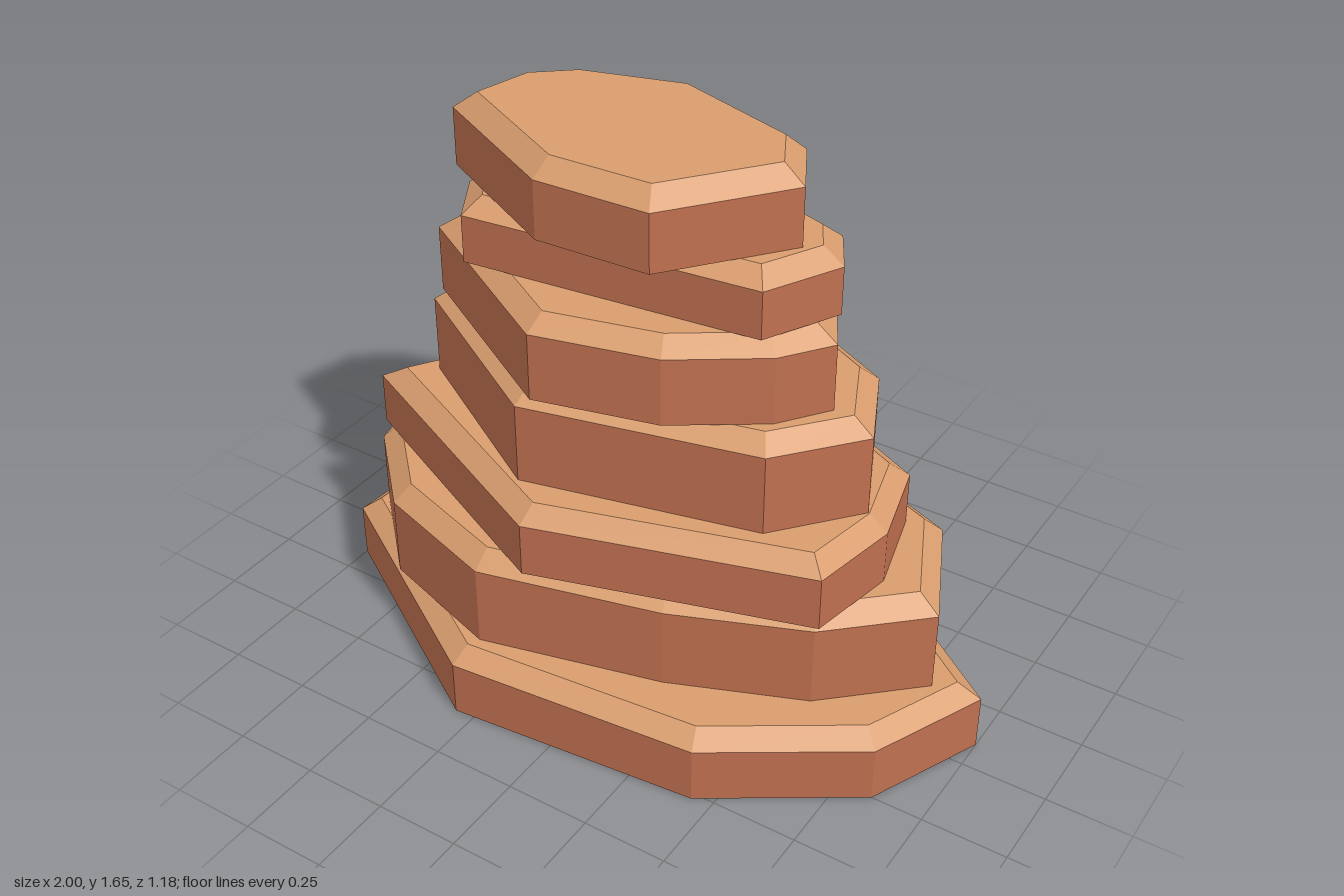
import * as THREE from 'three';

// Rock slabs, bottom to top: y of base, shoulder and top, then the outline
// as [x, z] corners running front, right, back, left
const SLABS = [
  { y: [0, 0.17, 0.215], pts: [[-1, 0.16], [-0.31, 0.59], [0.44, 0.52], [0.85, 0.25], [1, -0.09], [0.38, -0.55], [-0.24, -0.595], [-0.66, -0.48], [-0.97, -0.26]] },
  { y: [0.215, 0.46, 0.51], pts: [[-0.91, 0.13], [-0.67, 0.375], [-0.28, 0.5], [0.25, 0.37], [0.63, 0.215], [0.88, -0.02], [0.72, -0.37], [0.32, -0.535], [-0.18, -0.585], [-0.6, -0.43], [-0.98, -0.19]] },
  { y: [0.51, 0.67, 0.715], pts: [[-0.91, 0.11], [-0.13, 0.485], [0.66, 0.25], [0.71, -0.02], [0.64, -0.29], [0.125, -0.54], [-0.53, -0.47]] },
  { y: [0.715, 0.955, 1.0], pts: [[-0.745, 0.04], [-0.22, 0.365], [0.46, 0.21], [0.65, -0.02], [0.53, -0.28], [0.2, -0.45], [-0.14, -0.49], [-0.72, -0.18]] },
  { y: [1.0, 1.2, 1.245], pts: [[-0.71, 0.04], [-0.165, 0.37], [0.19, 0.285], [0.43, 0.12], [0.53, -0.02], [0.3, -0.43], [-0.1, -0.43], [-0.45, -0.38], [-0.65, -0.19]] },
  { y: [1.245, 1.385, 1.43], pts: [[-0.58, 0.05], [-0.48, 0.22], [0.39, 0.13], [0.5, -0.09], [0.42, -0.23], [0.12, -0.33], [-0.15, -0.37], [-0.53, -0.15]] },
  { y: [1.43, 1.6, 1.65], pts: [[-0.615, 0.06], [-0.19, 0.285], [0.15, 0.275], [0.4, -0.05], [0.3, -0.235], [-0.11, -0.37], [-0.43, -0.28], [-0.56, -0.17]] },
];
const BEVEL = 0.055;

// Move every edge of a convex outline inward by d
function inset(pts, d) {
  const n = pts.length;
  const normal = (a, b) => new THREE.Vector2(a[1] - b[1], b[0] - a[0]).normalize();
  return pts.map((p, i) => {
    const n1 = normal(pts[(i + n - 1) % n], p);
    const n2 = normal(p, pts[(i + 1) % n]);
    const k = d / (1 + n1.dot(n2));
    return [p[0] - (n1.x + n2.x) * k, p[1] - (n1.y + n2.y) * k];
  });
}

// Band of quads between two outlines
function band(out, low, y0, high, y1) {
  low.forEach((a, i) => {
    const j = (i + 1) % low.length, b = low[j], c = high[j], d = high[i];
    out.push(a[0], y0, a[1], b[0], y0, b[1], c[0], y1, c[1]);
    out.push(a[0], y0, a[1], c[0], y1, c[1], d[0], y1, d[1]);
  });
}

// Flat fan closing an outline, facing up or down
function cap(out, pts, y, up) {
  for (let i = 1; i < pts.length - 1; i++) {
    const tri = up ? [pts[0], pts[i], pts[i + 1]] : [pts[0], pts[i + 1], pts[i]];
    tri.forEach(([x, z]) => out.push(x, y, z));
  }
}

function facetedMesh(name, positions, material) {
  const geo = new THREE.BufferGeometry();
  geo.setAttribute('position', new THREE.Float32BufferAttribute(positions, 3));
  geo.computeVertexNormals();
  const mesh = new THREE.Mesh(geo, material);
  mesh.name = name;
  return mesh;
}

export function createModel() {
  const model = new THREE.Group();
  model.name = 'layeredRock';
  const rock = new THREE.MeshStandardMaterial({ color: 0xbf7050 });
  rock.name = 'red rock';
  const sand = new THREE.MeshStandardMaterial({ color: 0xd99d6e });
  sand.name = 'sandy top';

  SLABS.forEach(({ y, pts }, i) => {
    const slab = new THREE.Group();
    slab.name = `slab${i + 1}`;
    const rim = inset(pts, BEVEL);

    // Red sides and underside
    const sides = [];
    band(sides, pts, y[0], pts, y[1]);
    cap(sides, pts, y[0], false);
    slab.add(facetedMesh('slabSides', sides, rock));

    // Sandy bevel and flat top
    const top = [];
    band(top, pts, y[1], rim, y[2]);
    cap(top, rim, y[2], true);
    slab.add(facetedMesh('slabTop', top, sand));

    model.add(slab);
  });
  return model;
}
